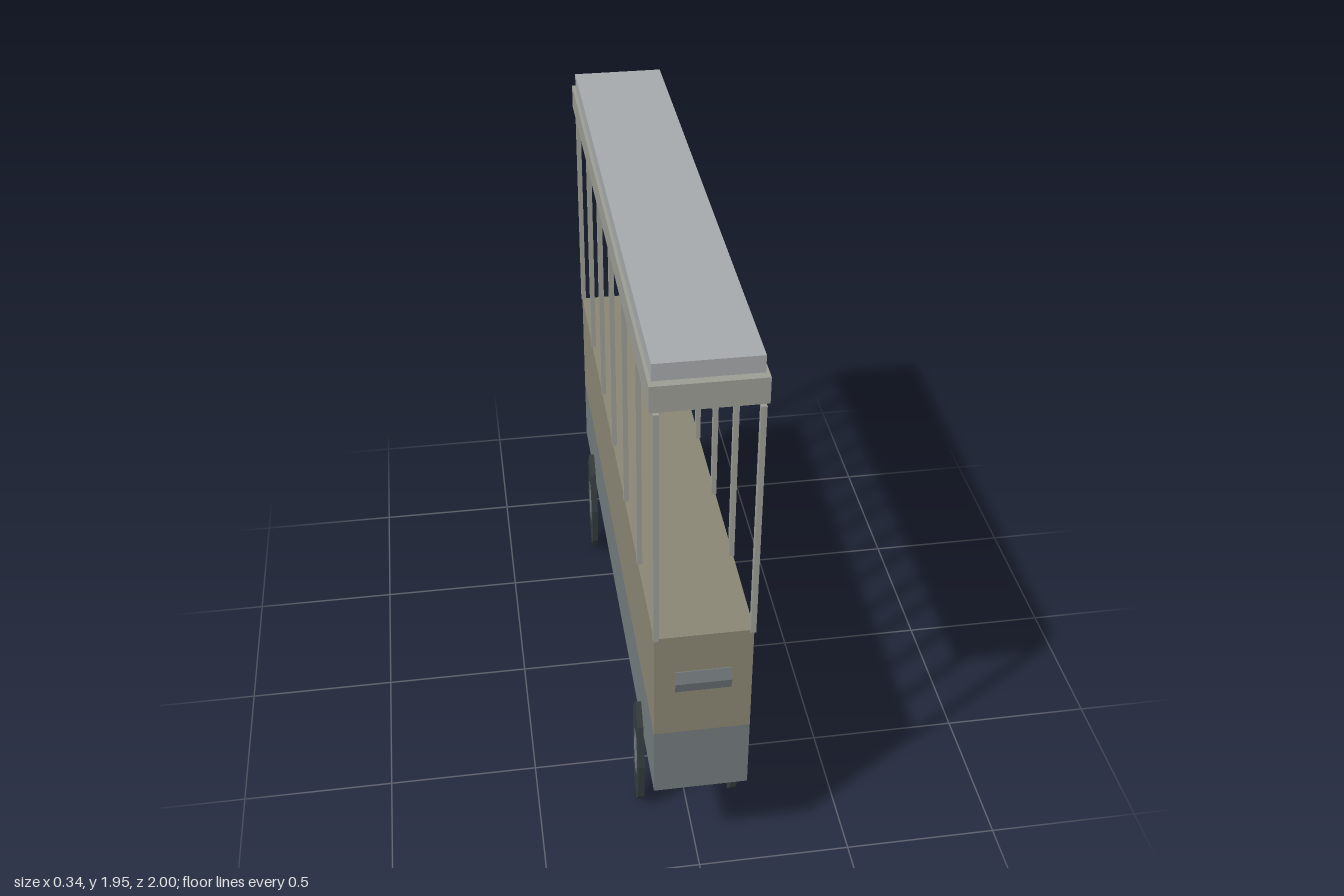
import * as THREE from 'three';

const mat = (color) => new THREE.MeshStandardMaterial({ color, flatShading: true });

export function createModel() {
  const model = new THREE.Group();
  const cream = mat(0x8a8674), slate = mat(0x737b7d), trim = mat(0x9b9c93);
  const roofGrey = mat(0xa6a9ab), tyre = mat(0x363c3e);

  const add = (name, geometry, material, x, y, z, parent = model) => {
    const mesh = new THREE.Mesh(geometry, material);
    mesh.name = name;
    mesh.position.set(x, y, z);
    parent.add(mesh);
    return mesh;
  };
  // Box given by half width, bottom, top and half length
  const slab = (name, material, hx, y0, y1, hz) =>
    add(name, new THREE.BoxGeometry(hx * 2, y1 - y0, hz * 2), material, 0, (y0 + y1) / 2, 0);

  // Body and stepped roof
  slab('lowerBody', slate, 0.149, 0.365, 0.618, 0.986);
  slab('upperBody', cream, 0.149, 0.618, 1.01, 0.986);
  slab('roofEdge', trim, 0.162, 1.81, 1.892, 0.986);
  slab('roofTop', roofGrey, 0.152, 1.892, 1.945, 0.96);

  // Thin roof posts down both sides
  const postGeometry = new THREE.BoxGeometry(0.016, 0.8, 0.022);
  for (const side of [1, -1]) {
    for (const z of [-0.987, -0.635, -0.316, 0, 0.316, 0.635, 0.987]) {
      add('roofPost', postGeometry, trim, side * 0.144, 1.41, z);
    }
  }

  // Six-sided front lamp lying across the nose
  const lamp = new THREE.CylinderGeometry(1, 1, 0.172, 6).rotateZ(Math.PI / 2);
  lamp.scale(1, 0.046, 0.022);
  add('frontLamp', lamp, slate, 0, 0.83, 0.978);

  // Wheels: narrow octagons with a hexagonal hub showing on both faces
  const wheelGeometry = new THREE.CylinderGeometry(1, 1, 0.021, 8).rotateZ(Math.PI / 2);
  wheelGeometry.scale(1, 0.233, 0.075);
  const hubGeometry = new THREE.CylinderGeometry(1, 1, 0.023, 6).rotateZ(Math.PI / 2);
  hubGeometry.scale(1, 0.105, 0.035);
  for (const side of [1, -1]) {
    for (const z of [0.69, -0.69]) {
      const wheel = new THREE.Group();
      wheel.name = 'wheel';
      wheel.position.set(side * 0.158, 0.233, z);
      add('tyre', wheelGeometry, tyre, 0, 0, 0, wheel);
      add('hub', hubGeometry, slate, 0, 0, 0, wheel);
      model.add(wheel);
    }
  }
  return model;
}
